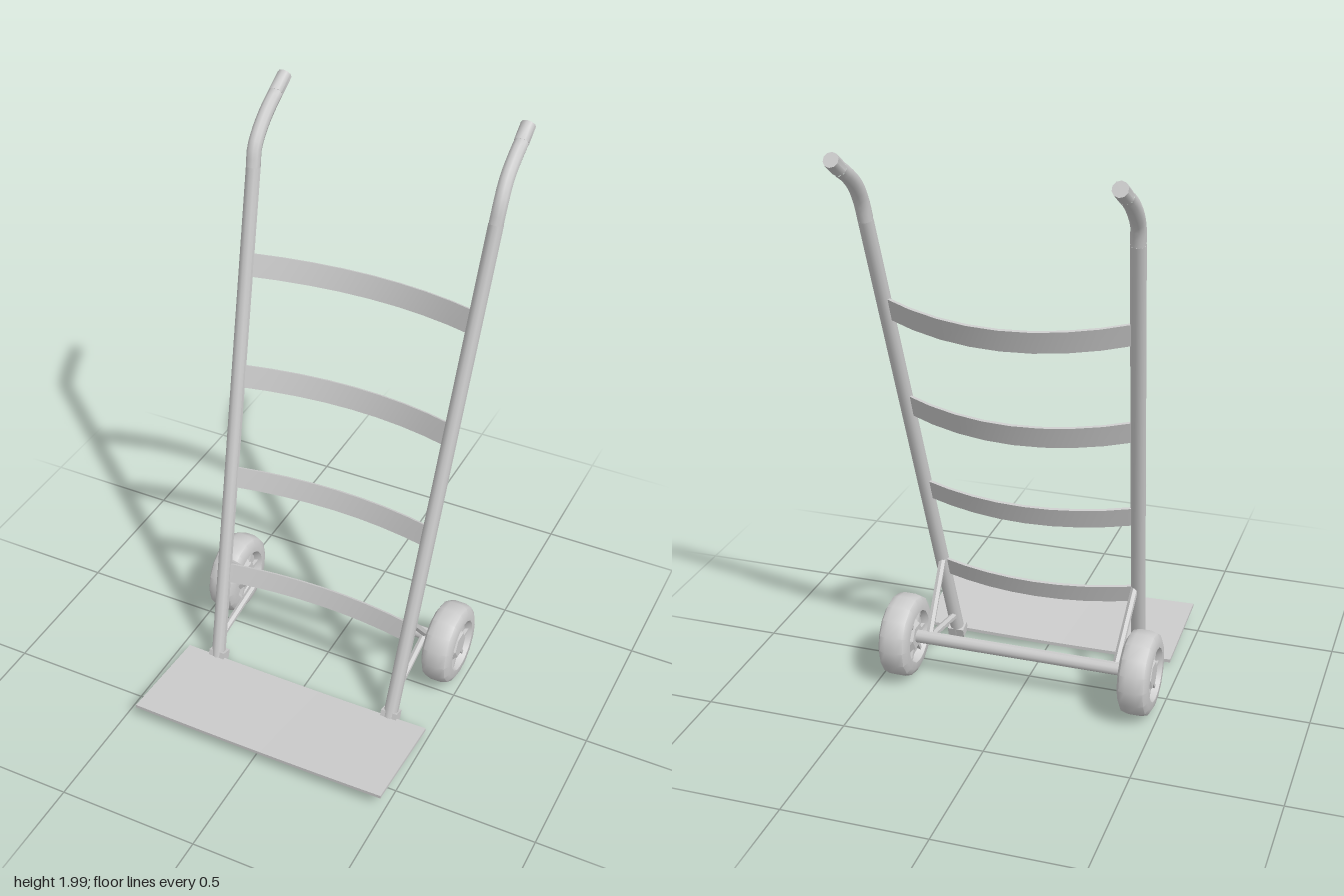
import * as THREE from 'three';
import { toCreasedNormals } from 'three/addons/utils/BufferGeometryUtils.js';

const V = (x, y, z) => new THREE.Vector3(x, y, z);
const grey = new THREE.MeshStandardMaterial({ color: 0xcccccc });
const TILT = 0.307; // backward lean of the frame

// Wheel size and axle position
const AXLE_Y = 0.157, AXLE_Z = -0.1;

function part(parent, name, geometry, crease = 0.7) {
  const mesh = new THREE.Mesh(toCreasedNormals(geometry, crease), grey);
  mesh.name = name;
  parent.add(mesh);
  return mesh;
}

// Straight round bar between two points
function rod(parent, name, a, b, radius, sides = 8) {
  const dir = b.clone().sub(a);
  const mesh = part(parent, name, new THREE.CylinderGeometry(radius, radius, dir.length(), sides), 0.9);
  mesh.position.copy(a).add(b).multiplyScalar(0.5);
  mesh.quaternion.setFromUnitVectors(V(0, 1, 0), dir.normalize());
  return mesh;
}

// Centre of a side rail at a given height, below the handle bend
function railPoint(side, y) {
  const top = side > 0 ? 0.424 : 0.446;
  const x = THREE.MathUtils.lerp(0.345, top, Math.max(0, y - 0.2) / 1.6);
  return V(side * x, y, 0.21 - 0.3167 * (y - 0.02));
}

// Rail with the bent handle at its top
function addRail(parent, side) {
  const rail = new THREE.Group();
  rail.name = side > 0 ? 'leftRail' : 'rightRail';
  const lift = side > 0 ? 0.008 : -0.005;
  const x = side > 0 ? 0.422 : 0.449;
  const radius = 0.025;
  rod(rail, 'railTube', railPoint(side, 0.02), railPoint(side, 1.74), radius, 10);
  const bend = new THREE.CatmullRomCurve3([
    railPoint(side, 1.74), railPoint(side, 1.8),
    V(side * x, 1.855 + lift, -0.4), V(side * x, 1.9 + lift, -0.455),
    V(side * x, 1.935 + lift, -0.515)
  ], false, 'centripetal');
  part(rail, 'handleBend', new THREE.TubeGeometry(bend, 10, radius, 10), 0.9);
  rod(rail, 'handleGrip', V(side * x, 1.935 + lift, -0.515), V(side * x, 1.973 + lift, -0.577 + lift), radius, 10);
  parent.add(rail);
}

// Thin cross strap bowed backwards between the rails
function addStrap(parent, y, bow, height) {
  const a = railPoint(-1, y), b = railPoint(1, y);
  const width = b.x - a.x;
  const geometry = new THREE.BoxGeometry(width, height, 0.01, 8, 1, 1);
  const p = geometry.attributes.position;
  for (let i = 0; i < p.count; i++) {
    const t = p.getX(i) / (width / 2);
    p.setZ(i, p.getZ(i) - bow * (1 - t * t));
  }
  const strap = part(parent, 'crossStrap', geometry);
  strap.position.set((a.x + b.x) / 2, y, a.z);
  strap.rotation.x = -TILT;
}

// Rounded tyre with a dished, six-sided hub on both faces
function addWheel(parent, side) {
  const wheel = new THREE.Group();
  wheel.name = side > 0 ? 'leftWheel' : 'rightWheel';
  const half = [[0.147, 0.02], [0.14, 0.042], [0.12, 0.053], [0.094, 0.054], [0.08, 0.03], [0, 0.03]];
  const profile = [
    ...half.map(([r, h]) => new THREE.Vector2(r, -h)).reverse(),
    ...half.map(([r, h]) => new THREE.Vector2(r, h))
  ];
  part(wheel, 'tyre', new THREE.LatheGeometry(profile, 16), 0.8);
  for (const face of [1, -1]) {
    const hub = part(wheel, 'hub', new THREE.CylinderGeometry(0.045, 0.07, 0.02, 6), 0.3);
    hub.position.y = face * 0.037;
    if (face < 0) hub.rotation.x = Math.PI;
    // Ribs reaching from the hub to the rim
    for (let i = 0; i < 6; i++) {
      const angle = (i * Math.PI) / 3;
      const rib = part(wheel, 'hubRib', new THREE.BoxGeometry(0.012, 0.012, 0.045), 0.3);
      rib.position.set(Math.sin(angle) * 0.064, face * 0.036, Math.cos(angle) * 0.064);
      rib.rotation.y = angle;
    }
  }
  wheel.rotation.z = -side * Math.PI / 2;
  wheel.position.set(side * 0.43, AXLE_Y, AXLE_Z);
  parent.add(wheel);
}

// Toe plate rising to the front, with a slight sag in the middle
function addToePlate(parent) {
  const geometry = new THREE.BoxGeometry(0.945, 0.012, 0.375, 8, 1, 2);
  const p = geometry.attributes.position;
  for (let i = 0; i < p.count; i++) {
    const x = p.getX(i) / 0.4725, z = p.getZ(i) / 0.1875;
    p.setY(i, p.getY(i) + 0.041 + 0.016 * z + 0.006 * (x * x - 0.5));
  }
  part(parent, 'toePlate', geometry).position.set(0.012, 0, 0.405);
}

export function createModel() {
  const model = new THREE.Group();
  model.name = 'handTruck';

  for (const side of [-1, 1]) {
    addRail(model, side);
    addWheel(model, side);
    // Braces from the rail to the axle
    const hub = V(side * 0.34, AXLE_Y, AXLE_Z);
    rod(model, 'upperBrace', railPoint(side, 0.385), hub, 0.013, 6);
    rod(model, 'lowerBrace', railPoint(side, 0.1), hub, 0.013, 6);
    // Foot joining the rail to the toe plate
    const foot = part(model, 'railFoot', new THREE.BoxGeometry(0.06, 0.035, 0.045));
    foot.position.set(side * 0.345, 0.03, 0.205);
    foot.rotation.x = -TILT;
  }

  rod(model, 'axle', V(-0.42, AXLE_Y, AXLE_Z), V(0.42, AXLE_Y, AXLE_Z), 0.023, 10);

  for (const [y, bow, height] of [[1.425, 0.105, 0.08], [1.05, 0.09, 0.08], [0.695, 0.065, 0.075], [0.345, 0.05, 0.07]]) {
    addStrap(model, y, bow, height);
  }

  addToePlate(model);
  return model;
}
